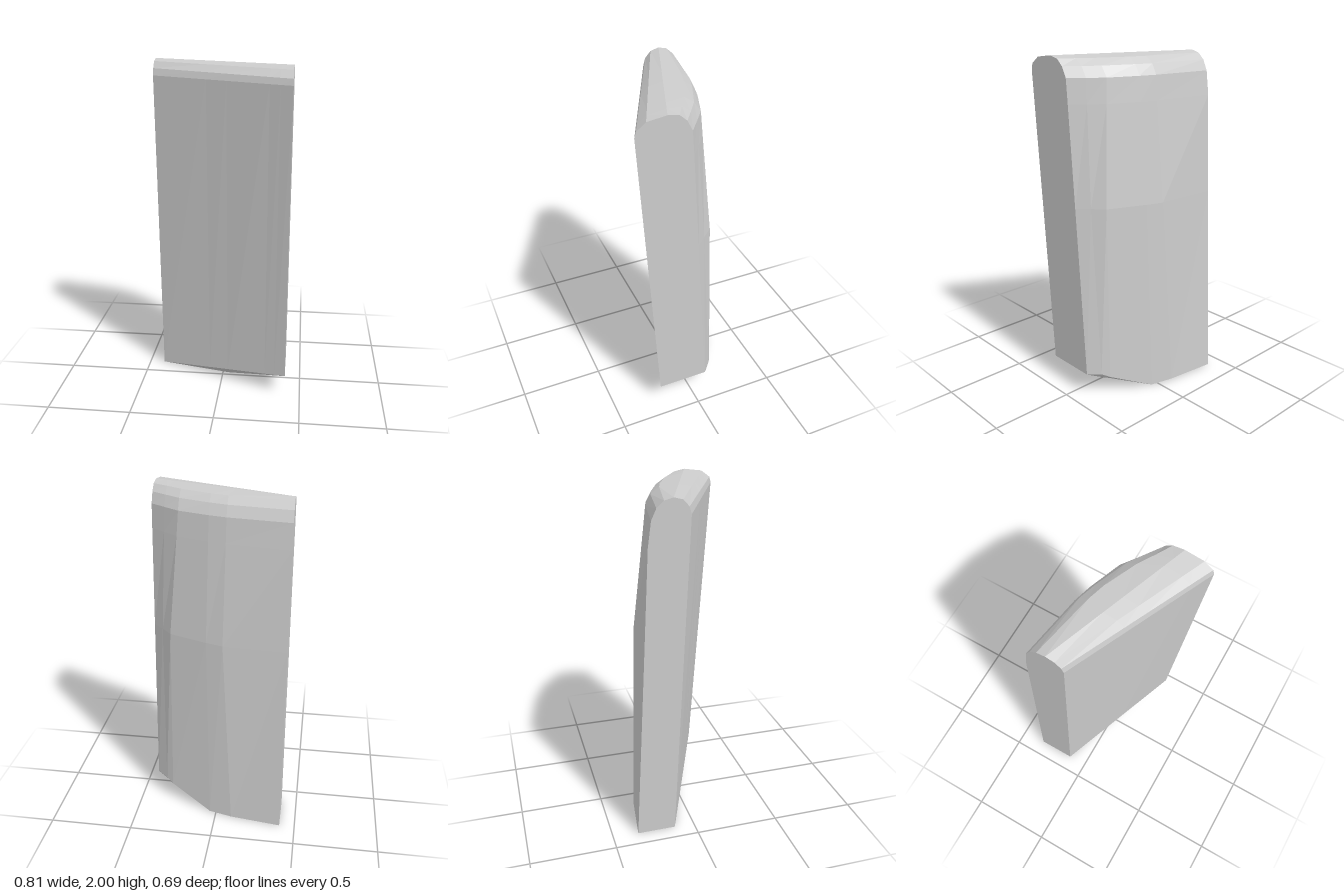
import * as THREE from 'three';

const { lerp } = THREE.MathUtils;
const STATIONS = [-0.407, -0.08, 0.04, 0.28, 0.34, 0.407];

// Straight row of points across the width, from the x- end to the x+ end
function straightRow(y0, z0, y1, z1) {
  return STATIONS.map((x) => {
    const t = (x + 0.407) / 0.814;
    return [x, lerp(y0, y1, t), lerp(z0, z1, t)];
  });
}

// Row at constant height that follows the bowed back
function bowedRow(y, xs, zs) {
  return xs.map((x, i) => [x, y, zs[i]]);
}

function makeGeometry(points, index) {
  const g = new THREE.BufferGeometry();
  g.setAttribute('position', new THREE.Float32BufferAttribute(points.flat(), 3));
  g.setIndex(index);
  return g;
}

// Surface through rows of points
function loft(rows) {
  const n = rows[0].length;
  const index = [];
  for (let r = 0; r < rows.length - 1; r++) {
    for (let c = 0; c < n - 1; c++) {
      const a = r * n + c;
      index.push(a, a + 1, a + n + 1, a, a + n + 1, a + n);
    }
  }
  return makeGeometry(rows.flat(), index);
}

// Flat fan closing an end
function fan(points) {
  const index = [];
  for (let i = 1; i < points.length - 1; i++) index.push(0, i, i + 1);
  return makeGeometry(points, index);
}

export function createModel() {
  const group = new THREE.Group();
  group.name = 'leaningSlab';
  const material = new THREE.MeshStandardMaterial({ color: 0xcccccc, flatShading: true });

  const add = (name, indexed) => {
    const geometry = indexed.toNonIndexed();
    geometry.computeVertexNormals();
    const mesh = new THREE.Mesh(geometry, material);
    mesh.name = name;
    group.add(mesh);
  };

  const frontBottom = straightRow(0, -0.12, 0.14, 0.22);
  const backBottom = [
    [-0.407, 0, -0.348], [-0.1, 0, -0.307], [0.04, 0, -0.272],
    [0.295, 0.115, -0.173], [0.34, 0.14, -0.145], [0.407, 0.14, -0.088],
  ];

  // Front face, rounded top and bowed back
  const topXs = [-0.407, -0.05, 0.05, 0.23, 0.32, 0.407];
  const shell = [
    frontBottom,
    straightRow(1.91, -0.03, 1.91, 0.347),
    straightRow(1.95, -0.042, 1.945, 0.338),
    straightRow(1.987, -0.075, 1.985, 0.285),
    straightRow(2, -0.125, 2, 0.175),
    bowedRow(1.987, topXs, [-0.175, -0.105, -0.075, 0.005, 0.06, 0.11]),
    bowedRow(1.95, topXs, [-0.215, -0.155, -0.123, -0.05, 0.01, 0.07]),
    bowedRow(1.89, topXs, [-0.243, -0.185, -0.157, -0.09, -0.025, 0.039]),
    bowedRow(1.75, [-0.407, -0.048, 0.052, 0.24, 0.325, 0.407], [-0.262, -0.2, -0.172, -0.1, -0.035, 0.028]),
    bowedRow(1.17, [-0.407, -0.04, 0.06, 0.285, 0.345, 0.407], [-0.29, -0.265, -0.232, -0.142, -0.077, -0.014]),
    backBottom,
  ];
  add('body', loft(shell));

  // Underside: level on one half, rising on the other, with thin bevels front and back
  const underBack = [
    ...backBottom.slice(0, 3),
    [0.285, 0.094, -0.149], [0.34, 0.114, -0.122], backBottom[5],
  ];
  const underFront = [
    frontBottom[0], [-0.1, 0, -0.055], [0.04, 0, -0.026],
    [0.285, 0.094, 0.138], [0.34, 0.114, 0.175], frontBottom[5],
  ];
  add('underside', loft([backBottom, underBack, underFront, frontBottom]));

  // Flat ends
  add('rightEnd', fan(shell.map((row) => row[0])));
  add('leftEnd', fan(shell.map((row) => row[5]).reverse()));

  return group;
}
